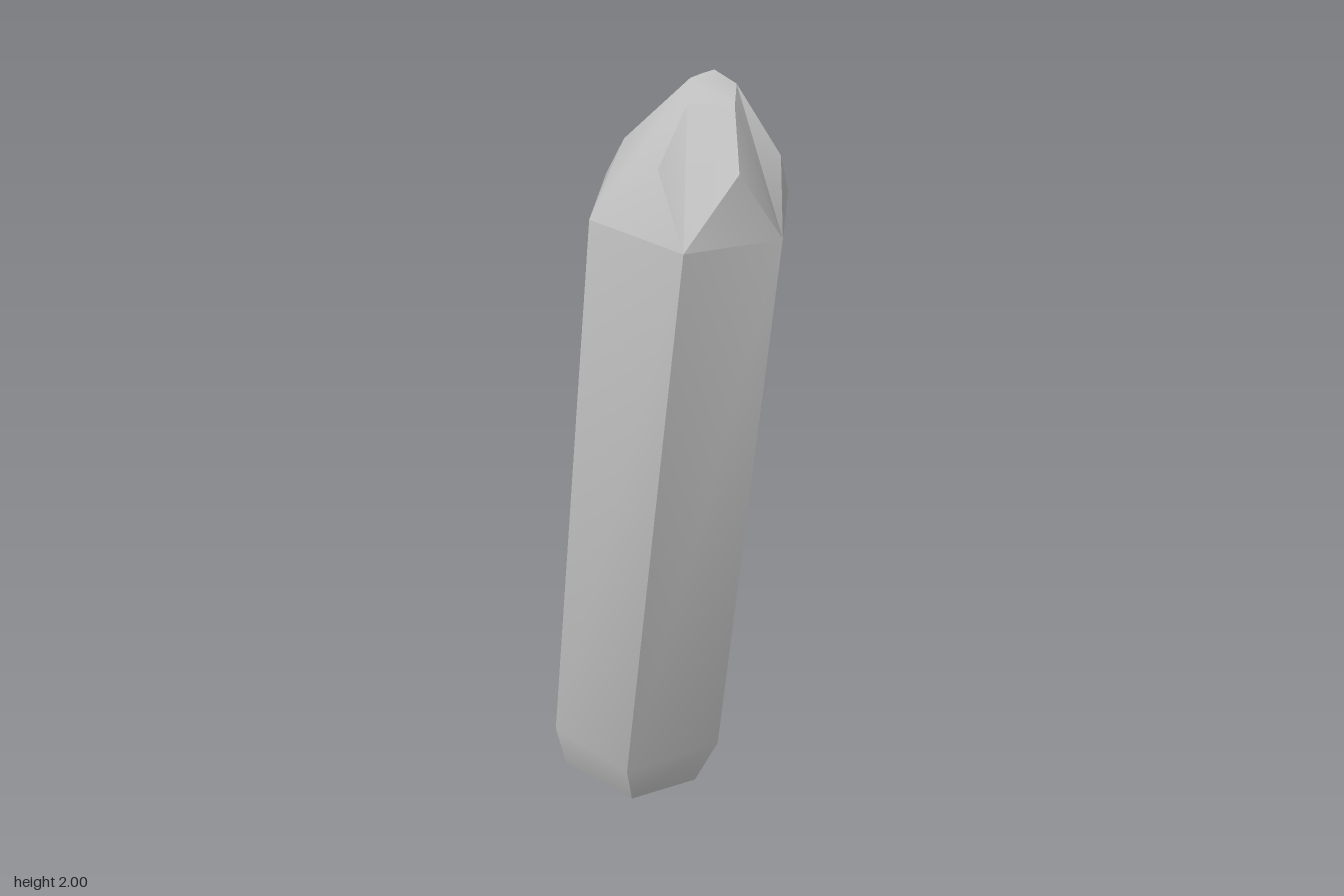
import * as THREE from 'three';
import { toCreasedNormals } from 'three/addons/utils/BufferGeometryUtils.js';

// Six-sided cross-sections, each running left, front-left, front-right, right, back-right, back-left
const base = [[-0.29, 0.05, 0], [-0.2, 0.04, 0.17], [0.02, 0.015, 0.17], [0.12, 0, 0], [0.02, 0.015, -0.17], [-0.19, 0.04, -0.17]];
const lower = [[-0.322, 0.22, -0.01], [-0.197, 0.2, 0.214], [0.05, 0.18, 0.237], [0.19, 0.17, 0], [0.08, 0.18, -0.225], [-0.185, 0.21, -0.24]];
const upper = [[-0.148, 1.73, -0.01], [-0.038, 1.72, 0.22], [0.206, 1.7, 0.23], [0.322, 1.68, 0.008], [0.22, 1.7, -0.206], [-0.034, 1.72, -0.22]];
// Points between neighbouring corners: the shoulder of the tip and the rim of its small cap
const shoulder = [[-0.038, 1.86, 0.08], [0.105, 1.845, 0.17], [0.256, 1.84, 0.09], [0.263, 1.83, -0.08], [0.12, 1.85, -0.17], [-0.035, 1.86, -0.093]];
const rim = [[0.077, 1.99, -0.005], [0.1, 1.95, 0.045], [0.19, 1.95, 0], [0.165, 1.98, -0.05], [0.107, 2, -0.054], [0.09, 1.995, -0.03]];

// Fan each polygon into triangles, then smooth the shallow edges only
function polygonMesh(name, polygons, material) {
  const positions = [];
  for (const p of polygons)
    for (let i = 1; i < p.length - 1; i++) positions.push(...p[0], ...p[i], ...p[i + 1]);
  const geometry = new THREE.BufferGeometry();
  geometry.setAttribute('position', new THREE.Float32BufferAttribute(positions, 3));
  const mesh = new THREE.Mesh(toCreasedNormals(geometry, 0.7), material);
  mesh.name = name;
  return mesh;
}

export function createModel() {
  const group = new THREE.Group();
  group.name = 'crystal';
  const stone = new THREE.MeshStandardMaterial({ color: 0xbdbdbd });
  stone.name = 'grey stone';

  const faces = [[...base].reverse(), rim];
  for (let i = 0; i < 6; i++) {
    const next = (i + 1) % 6, prev = (i + 5) % 6;
    // bottom bevel and long side
    faces.push([base[i], base[next], lower[next], lower[i]]);
    faces.push([lower[i], lower[next], upper[next], upper[i]]);
    // steep triangle above each side and sloping facet above each corner
    faces.push([upper[i], upper[next], shoulder[i]]);
    faces.push([upper[i], shoulder[i], rim[i], rim[prev], shoulder[prev]]);
  }
  group.add(polygonMesh('crystalShard', faces, stone));
  return group;
}
